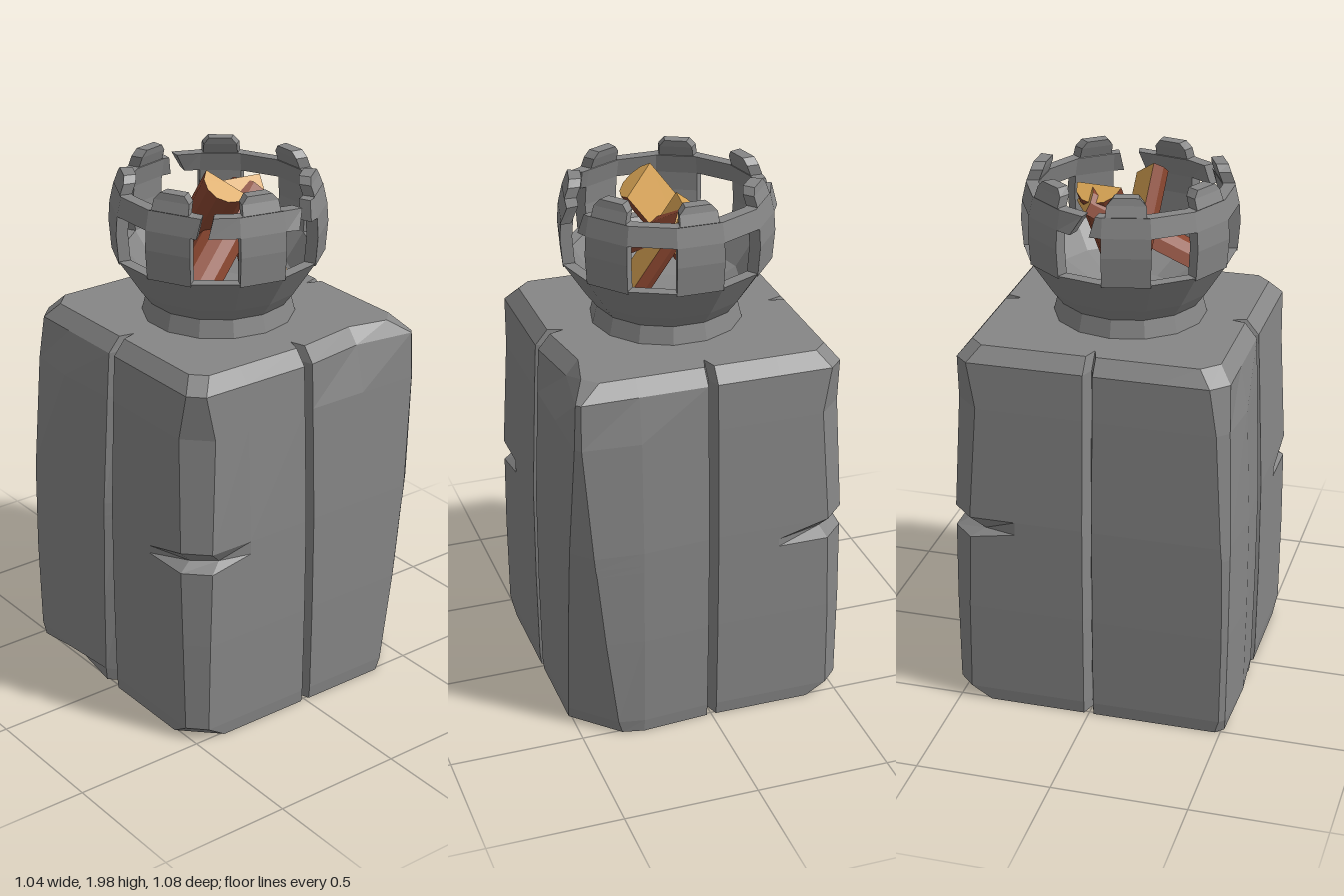
import * as THREE from 'three';

const flat = (name, color) => {
  const m = new THREE.MeshStandardMaterial({ color, flatShading: true });
  m.name = name;
  return m;
};

// Closed solid through rings of [x, y, z], counter-clockwise seen from above, bottom to top
function loft(rings) {
  const pos = [];
  const tri = (...p) => p.forEach((v) => pos.push(...v));
  const n = rings[0].length;
  const mid = (r) => [0, 1, 2].map((k) => r.reduce((s, p) => s + p[k], 0) / n);
  const first = rings[0], last = rings[rings.length - 1];
  const c0 = mid(first), c1 = mid(last);
  for (let i = 0; i < n; i++) {
    const j = (i + 1) % n;
    for (let k = 0; k < rings.length - 1; k++) {
      const lo = rings[k], hi = rings[k + 1];
      tri(lo[i], lo[j], hi[j]);
      tri(lo[i], hi[j], hi[i]);
    }
    tri(first[j], first[i], c0);
    tri(last[i], last[j], c1);
  }
  const g = new THREE.BufferGeometry();
  g.setAttribute('position', new THREE.Float32BufferAttribute(pos, 3));
  g.computeVertexNormals();
  return g;
}

// Stone pillar: four chamfered corner stones with a groove between each pair
function pillarGeometry() {
  const ys = [0, 0.05, 0.4, 0.69, 0.72, 0.77, 1.2, 1.37, 1.425];
  const half = [0.51, 0.515, 0.52, 0.52, 0.52, 0.52, 0.503, 0.495, 0.45];
  const even = [0.13, 0.06, 0.07, 0.08, 0.08, 0.08, 0.09, 0.05, 0.05];
  const spike = [0.16, 0.15, 0.11, 0.08, 0.075, 0.07, 0.02, 0.015, 0.05];
  const sharp = [0.03, 0.02, 0.02, 0.025, 0.025, 0.03, 0.04, 0.06, 0.06];
  const chamfers = [even, spike, even, sharp];
  return loft(ys.map((y, l) => {
    const ring = [];
    for (let k = 0; k < 4; k++) {
      const d = half[l], c = chamfers[k][l];
      const crack = k % 2 === 0 && l === 4 ? 0.05 : 0; // chipped corner edge
      const topDent = k === 1 && l >= 7 ? 0.035 : 0; // crack running down from the top
      const footDent = k === 3 && l === 0 ? 0.05 : 0; // crack running up from the foot
      const bulge = k % 2 === 1 && l < 7 ? 0.018 : 0;
      const lean = k === 3 ? 0.012 + 0.045 * (1 - y / 1.43) : 0.018;
      const pts = [
        [0, d - 0.055],
        [0.018, d],
        [0.25, d - topDent],
        [d - c - crack * 0.3, d - crack],
        [d - crack * 0.6, d - c - crack],
        [d + bulge - footDent, 0.27],
        [d, lean],
      ];
      for (let [x, z] of pts) {
        for (let r = 0; r < k; r++) [x, z] = [z, -x];
        ring.push([x, y, z]);
      }
    }
    return ring;
  }));
}

// Fire basket outline: outer radius at a height
const outline = [[1.67, 0.385], [1.77, 0.393], [1.84, 0.388], [1.91, 0.372], [1.975, 0.348]];
function radiusAt(y) {
  let i = 0;
  while (i < outline.length - 2 && y > outline[i + 1][0]) i++;
  const [y0, r0] = outline[i], [y1, r1] = outline[i + 1];
  return r0 + ((r1 - r0) * (y - y0)) / (y1 - y0);
}

// Piece of basket wall; each row is [height, start angle, end angle, outward bend of the end]
function wallGeometry(rows) {
  return loft(rows.map(([y, a, b, bend = 0]) => {
    const R = radiusAt(y), t = 0.045;
    const at = (r, th) => [r * Math.sin(th), y, r * Math.cos(th)];
    return [at(R, a), at(R + bend, b), at(R - t + bend, b), at(R - t, a)];
  }));
}

// Split log: half-round bark, pale flat face and pale ends
function makeLog(name, from, to, faceDir, radius, bark, wood) {
  const a = new THREE.Vector3(...from), b = new THREE.Vector3(...to);
  const axis = b.clone().sub(a);
  const length = axis.length();
  axis.normalize();
  const face = new THREE.Vector3(...faceDir);
  face.addScaledVector(axis, -face.dot(axis)).normalize();
  const X = face.negate();
  const Z = new THREE.Vector3().crossVectors(X, axis);

  const log = new THREE.Group();
  log.name = name;
  const round = new THREE.CylinderGeometry(radius, radius, length, 6, 1, false, 0, Math.PI);
  const barkMesh = new THREE.Mesh(round, [bark, wood, wood]);
  barkMesh.name = 'barkAndEnds';
  const split = new THREE.Mesh(new THREE.PlaneGeometry(radius * 2, length).rotateY(-Math.PI / 2), wood);
  split.name = 'splitFace';
  log.add(barkMesh, split);
  log.quaternion.setFromRotationMatrix(new THREE.Matrix4().makeBasis(X, axis, Z));
  log.position.copy(a).add(b).multiplyScalar(0.5);
  return log;
}

export function createModel() {
  const stone = flat('stone grey', 0x868686);
  const bark = flat('bark brown', 0x8a4630);
  const wood = flat('split wood', 0xd6a253);
  const model = new THREE.Group();
  model.name = 'stoneBrazier';
  const add = (parent, name, geometry) => {
    const mesh = new THREE.Mesh(geometry, stone);
    mesh.name = name;
    parent.add(mesh);
  };

  add(model, 'pillar', pillarGeometry());

  // Fourteen-sided basket: posts and windows alternate
  const basket = new THREE.Group();
  basket.name = 'fireBasket';
  basket.position.z = 0.02;
  model.add(basket);
  const bowl = [
    [0.28, 1.42], [0.262, 1.49], [0.3, 1.54], [0.385, 1.67],
    [0.34, 1.67], [0.27, 1.57], [0.15, 1.51], [0, 1.5],
  ].map(([r, y]) => new THREE.Vector2(r, y));
  add(basket, 'bowl', new THREE.LatheGeometry(bowl, 14, Math.PI / 14));

  const step = Math.PI / 7;
  // Broken windows: where each of the two stubs ends, as a share of the opening
  const broken = { 1: [0.22, 0.36, 0.01], 2: [0.4, 0.75, 0.02], 5: [0.6, 0.75, 0.01] };
  for (let i = 0; i < 7; i++) {
    const a = (2 * i - 0.5) * step, b = a + step, c = b + step;
    add(basket, 'post', wallGeometry([
      [1.66, b, c], [1.77, b, c], [1.84, b, c], [1.91, b, c],
      [1.912, b + 0.03, c - 0.03], [1.95, b + 0.03, c - 0.03], [1.975, b + 0.09, c - 0.09],
    ]));
    if (broken[i]) {
      const [s, e, bend] = broken[i];
      add(basket, 'brokenBand', wallGeometry([
        [1.84, a, a + step * s * 0.6, bend], [1.91, a, a + step * s, bend],
      ]));
      add(basket, 'brokenBand', wallGeometry([
        [1.84, a + step * e, b], [1.91, a + step * (e + 0.1), b],
      ]));
    } else {
      add(basket, 'band', wallGeometry([[1.84, a, b], [1.91, a, b]]));
    }
  }

  // Firewood
  model.add(
    makeLog('lowLog', [0.12, 1.57, 0.23], [-0.05, 1.82, -0.15], [-0.2, -1, -0.3], 0.085, bark, wood),
    makeLog('frontLog', [-0.18, 1.58, 0.03], [0.09, 1.94, 0.05], [-0.4, 0.35, -0.8], 0.085, bark, wood),
    makeLog('backLog', [0.19, 1.58, -0.06], [-0.02, 1.9, -0.09], [0.8, 0.45, 0.1], 0.085, bark, wood),
  );
  return model;
}
